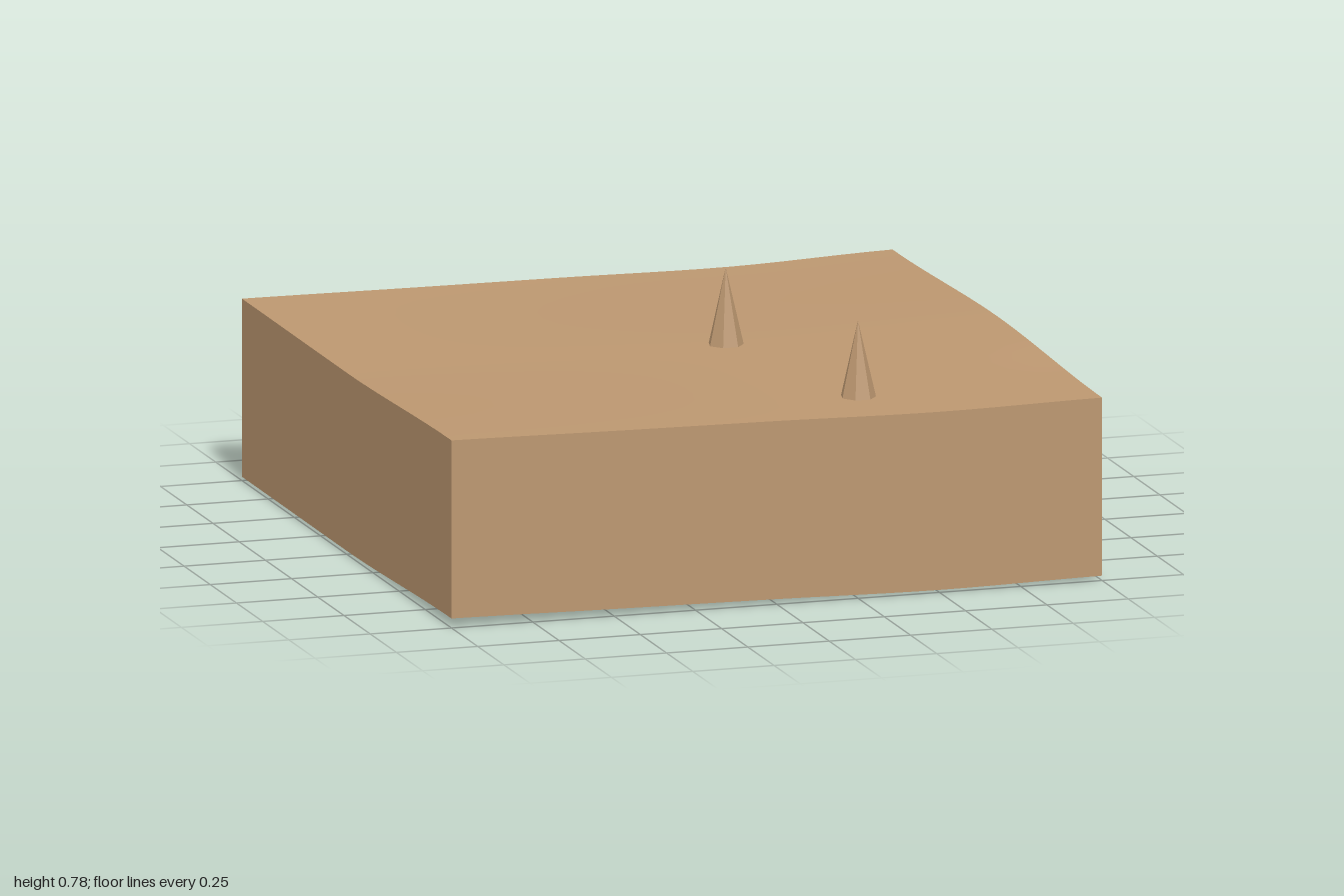
import * as THREE from 'three';

const WALL = 0.535;   // height of the skirt under the surface
const SEGMENTS = 24;

// Ground heights at five x stations for the rows z = -1, 0 and 1
const ROWS = [
  [0.547, 0.543, 0.540, 0.536, 0.552],
  [0.546, 0.546, 0.548, 0.552, 0.573],
  [0.564, 0.557, 0.551, 0.543, 0.550],
].map((row) => new THREE.SplineCurve(row.map((y, i) => new THREE.Vector2(i / 2 - 1, y))));

function groundHeight(x, z) {
  const t = THREE.MathUtils.clamp((x + 1) / 2, 0, 1);
  const [back, middle, front] = ROWS.map((row) => row.getPoint(t).y);
  const blend = THREE.MathUtils.smoothstep(Math.abs(z), 0, 1);
  return THREE.MathUtils.lerp(middle, z < 0 ? back : front, blend);
}

export function createModel() {
  const model = new THREE.Group();
  const sand = new THREE.MeshStandardMaterial({ color: 0xbc9770, side: THREE.DoubleSide });
  sand.name = 'sand';

  const add = (name, geometry) => {
    const mesh = new THREE.Mesh(geometry, sand);
    mesh.name = name;
    model.add(mesh);
    return mesh;
  };

  // Gently rolling surface
  const ground = new THREE.PlaneGeometry(2, 2, SEGMENTS, SEGMENTS).rotateX(-Math.PI / 2);
  const gp = ground.attributes.position;
  for (let i = 0; i < gp.count; i++) gp.setY(i, groundHeight(gp.getX(i), gp.getZ(i)));
  ground.computeVertexNormals();
  add('ground', ground);

  // Four skirt walls whose lower edges follow the surface; the underside is open
  ['frontWall', 'leftWall', 'backWall', 'rightWall'].forEach((name, side) => {
    const wall = new THREE.PlaneGeometry(2, 1, SEGMENTS, 1)
      .translate(0, 0, 1)
      .rotateY(side * Math.PI / 2);
    const p = wall.attributes.position;
    for (let i = 0; i < p.count; i++) {
      const top = groundHeight(p.getX(i), p.getZ(i));
      p.setY(i, p.getY(i) > 0 ? top : top - WALL);
    }
    add(name, wall);
  });

  // Seven-sided spikes standing on the ground
  [[0.165, 0, 0.78], [0.33, 0.75, 0.775]].forEach(([x, z, tip], i) => {
    const base = groundHeight(x, z);
    const cone = new THREE.ConeGeometry(0.053, tip - base, 7, 1, true, Math.PI).toNonIndexed();
    cone.computeVertexNormals(); // faceted sides
    add(i ? 'frontSpike' : 'middleSpike', cone).position.set(x, (base + tip) / 2, z);
  });

  return model;
}
